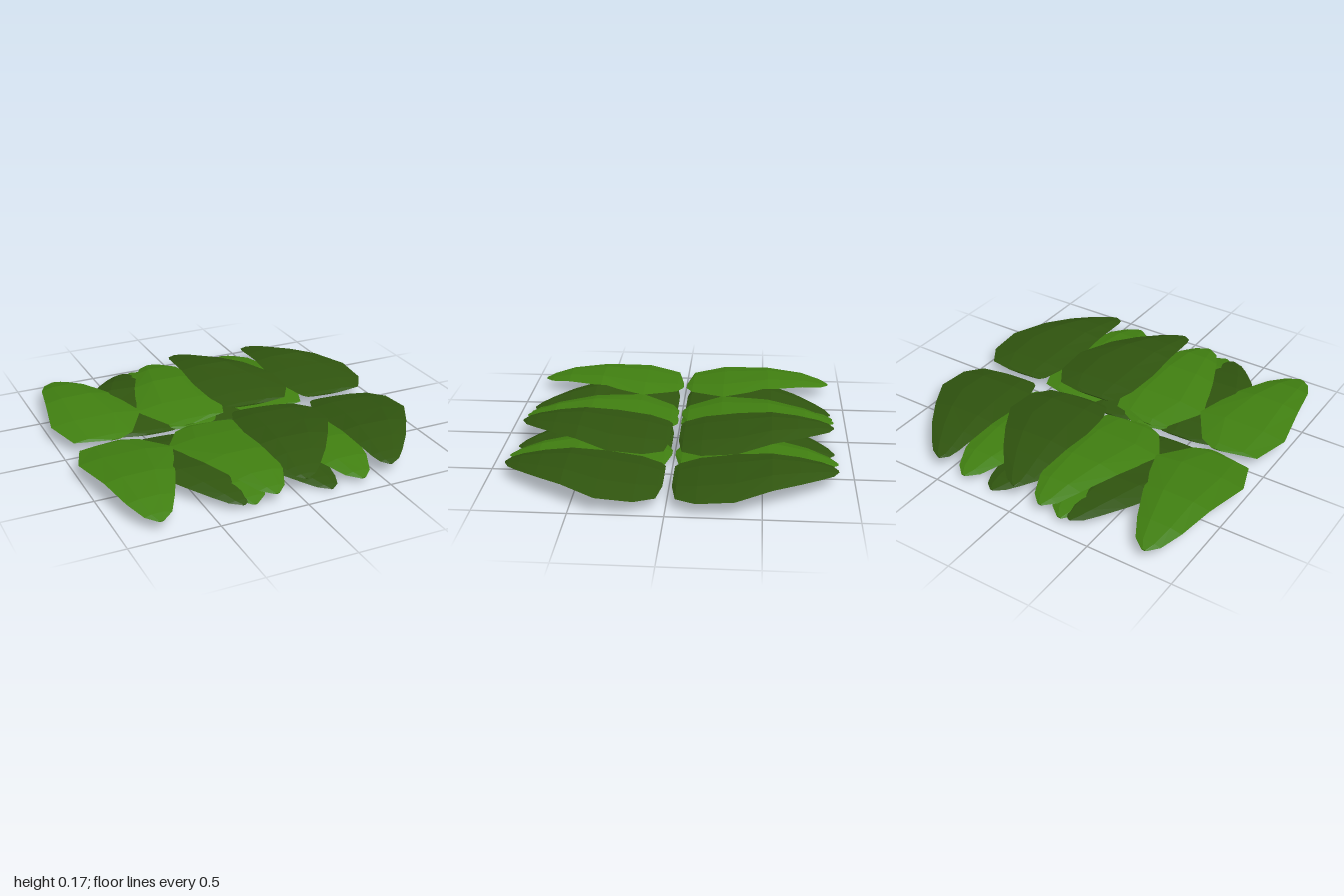
import * as THREE from 'three';

// Cross-sections from base to tip: [z, left x, right x, half thickness], x measured from the tip
const NARROW = [
  [0.01, 0.06, 0.13, 0.003], [0.05, -0.14, 0.21, 0.012], [0.25, -0.21, 0.335, 0.022],
  [0.53, -0.16, 0.24, 0.022], [0.75, -0.12, 0.145, 0.017], [0.87, -0.07, 0.08, 0.011], [0.92, -0.015, 0.015, 0.003],
];
const BROAD = [
  [0.025, 0, 0.23, 0.004], [0.05, -0.03, 0.37, 0.011], [0.16, -0.075, 0.44, 0.02], [0.36, -0.1, 0.44, 0.023],
  [0.55, -0.095, 0.33, 0.023], [0.7, -0.085, 0.23, 0.019], [0.82, -0.07, 0.13, 0.014], [0.88, -0.05, 0.07, 0.009],
  [0.91, -0.01, 0.012, 0.003],
];

// Drop of the leaf's arched spine below its crest
const ARCH = [[0, -0.05], [0.1, -0.036], [0.2, -0.025], [0.55, 0], [0.75, -0.017], [0.93, -0.053]];
function arch(z) {
  const i = Math.max(1, ARCH.findIndex((p) => p[0] >= z));
  const [a, b] = [ARCH[i - 1], ARCH[i]];
  return THREE.MathUtils.lerp(a[1], b[1], (z - a[0]) / (b[0] - a[0]));
}

// Lens-shaped leaf lofted through six-point sections; sx and sz mirror it
function leafGeometry(rows, sx, sz, roll) {
  const pos = [], index = [];
  const section = [[0, 0], [0.25, 0.85], [0.7, 1], [1, 0], [0.7, -1], [0.25, -0.85]];
  const n = section.length;
  for (const [z, l, r, t] of rows) {
    for (const [u, v] of section) {
      const x = sx * (l + (r - l) * u);
      pos.push(x, arch(z) + v * t + roll * x, sz * z);
    }
  }
  const tri = (a, b, c) => (sx * sz > 0 ? index.push(a, b, c) : index.push(a, c, b));
  for (let i = 0; i < rows.length - 1; i++) {
    for (let j = 0; j < n; j++) {
      const a = i * n + j, b = i * n + (j + 1) % n;
      tri(a, a + n, b);
      tri(b, a + n, b + n);
    }
  }
  // End caps
  const last = (rows.length - 1) * n;
  for (let j = 1; j < n - 1; j++) {
    tri(0, j, j + 1);
    tri(last, last + j + 1, last + j);
  }
  const g = new THREE.BufferGeometry();
  g.setAttribute('position', new THREE.Float32BufferAttribute(pos, 3));
  g.setIndex(index);
  const flat = g.toNonIndexed();
  flat.computeVertexNormals();
  return flat;
}

export function createModel() {
  const model = new THREE.Group();
  model.name = 'leafCluster';
  const lightGreen = new THREE.MeshStandardMaterial({ color: 0x418011 });
  lightGreen.name = 'lightGreen';
  const darkGreen = new THREE.MeshStandardMaterial({ color: 0x30550f });
  darkGreen.name = 'darkGreen';

  // One repeat of four leaves: tip x, crest height, mirror in x, roll
  const leaves = [
    { name: 'outerLightLeaf', rows: NARROW, mat: lightGreen, x: -0.79, y: 0.118, sx: 1, roll: 0 },
    { name: 'innerLightLeaf', rows: NARROW, mat: lightGreen, x: -0.145, y: 0.12, sx: -1, roll: 0.02 },
    { name: 'upperDarkLeaf', rows: BROAD, mat: darkGreen, x: 0.033, y: 0.16, sx: 1, roll: -0.04 },
    { name: 'lowerDarkLeaf', rows: BROAD, mat: darkGreen, x: -0.33, y: 0.091, sx: -1, roll: -0.03 },
  ];

  for (const sz of [1, -1]) {
    const row = new THREE.Group();
    row.name = sz > 0 ? 'frontLeaves' : 'backLeaves';
    for (const leaf of leaves) {
      const geometry = leafGeometry(leaf.rows, leaf.sx, sz, leaf.roll);
      // Each leaf repeats once, further along and lower
      for (let k = 0; k < 2; k++) {
        const mesh = new THREE.Mesh(geometry, leaf.mat);
        mesh.name = leaf.name + (k + 1);
        mesh.position.set(leaf.x + 0.52 * k, leaf.y - 0.03 * k, 0);
        row.add(mesh);
      }
    }
    model.add(row);
  }
  return model;
}
